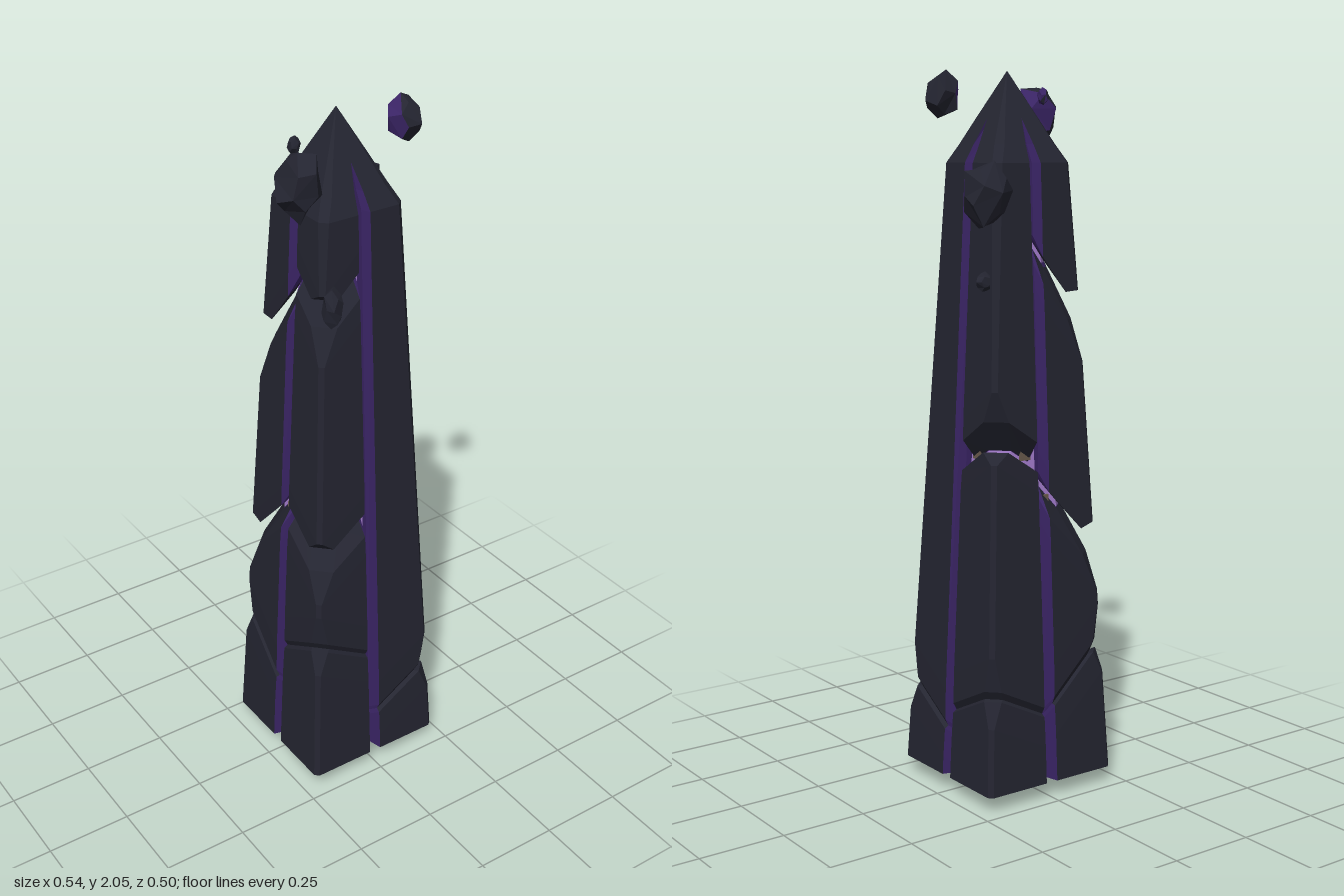
import * as THREE from 'three';

const mat = (name, color) => Object.assign(new THREE.MeshStandardMaterial({ color }), { name });
const clamp = THREE.MathUtils.clamp;

// Half width of the tapering obelisk, with its pyramid tip
const halfWidth = y => (y < 1.75 ? 0.218 - 0.0503 * y : 0.52 * Math.max(0, 2 - y));

// Flat-faced loft through rings of points; sideMat and capMat pick the material index
function loft(rings, sideMat, capMat, mirrored) {
  const faces = [[], []];
  const tri = (m, a, b, c) => faces[m].push(...a, ...(mirrored ? c : b), ...(mirrored ? b : c));
  const n = rings[0].length;
  for (let i = 0; i < rings.length - 1; i++) {
    for (let j = 0; j < n; j++) {
      const k = (j + 1) % n, p = rings[i], q = rings[i + 1];
      tri(sideMat(j), p[j], p[k], q[k]);
      tri(sideMat(j), p[j], q[k], q[j]);
    }
  }
  const lo = rings[0], hi = rings[rings.length - 1];
  for (let j = 1; j < n - 1; j++) {
    tri(capMat(0), lo[0], lo[j + 1], lo[j]);
    tri(capMat(1), hi[0], hi[j], hi[j + 1]);
  }
  const geo = new THREE.BufferGeometry();
  geo.setAttribute('position', new THREE.Float32BufferAttribute([...faces[0], ...faces[1]], 3));
  geo.addGroup(0, faces[0].length / 3, 0);
  geo.addGroup(faces[0].length / 3, faces[1].length / 3, 1);
  geo.computeVertexNormals();
  return geo;
}

// Cross-section of one corner pillar: outer faces, bevelled corner, V groove walls
function section(y, inset, bevel) {
  const h = Math.max(0, halfWidth(y) - inset);
  const open = clamp((1.87 - y) / 0.1, 0, 1);
  const g = Math.min(0.008 * open, h), a = Math.min(0.019 * open, h);
  const b = Math.min(bevel, 0.4 * h), w = 0.8 * h, k = 0.25 * h;
  return [[a, h], [h - b, h], [h, h - b], [h, a], [w, g], [k, g], [g, k], [g, w]];
}

// Ring cut on a slant: the height changes by `slope` from groove to corner
function ring(sx, sz, { y, slope = 0, inset = 0, bevel = 0.012 }) {
  const h = halfWidth(y) || 1;
  return section(y, inset, bevel).map(([x, z], j) => {
    const py = y + slope * ((x + z) / h - 1);
    const [qx, qz] = slope ? section(py, inset, bevel)[j] : [x, z];
    return [sx * qx, py, sz * qz];
  });
}

// Rings leading away from a crack, dir = 1 upward or -1 downward
function crackRings({ y, slope, glow, gap = 0.01 }, dir) {
  const bevel = glow ? 0.05 : 0.035;
  return [
    { y: y + dir * (glow ? gap : 0), slope, inset: glow ? 0.05 : 0.014, bevel },
    { y: y + dir * (glow ? gap + 0.028 : 0.014), slope, inset: 0.002, bevel },
    { y: y + dir * 0.1, slope, bevel: 0.012 },
  ];
}

export function createModel() {
  const root = new THREE.Group();
  root.name = 'shatteredObelisk';
  const stone = mat('darkStone', 0x242531);
  const violet = mat('deepViolet', 0x3a2465);
  const glow = mat('glowingViolet', 0xa67fd0);
  const tan = mat('dustyTan', 0x6b5c4e);
  const add = (parent, name, geo, m) => {
    const mesh = new THREE.Mesh(geo, m);
    mesh.name = name;
    parent.add(mesh);
    return mesh;
  };

  // Glowing core seen through grooves and cracks
  const coreRing = y => {
    const c = halfWidth(y) - 0.053, d = c - Math.min(0.05, 0.5 * c);
    return [[-d, c], [d, c], [c, d], [c, -d], [d, -c], [-d, -c], [-c, -d], [-c, d]]
      .map(([x, z]) => [x, y, z]);
  };
  add(root, 'core', loft([0.004, 1.75, 1.84].map(coreRing), () => 0, e => (e ? 0 : 1)), [glow, violet]);

  // Four corner pillars, each broken by its own cracks
  const pillars = [
    { name: 'frontRightPillar', sx: -1, sz: 1, cracks: [
      { y: 0.36, slope: 0.11 },
      { y: 0.83, slope: -0.13, glow: true },
      { y: 1.57, slope: -0.13, glow: true }] },
    { name: 'frontLeftPillar', sx: 1, sz: 1, cracks: [{ y: 0.14, slope: 0.12 }] },
    { name: 'backLeftPillar', sx: 1, sz: -1, cracks: [
      { y: 0.2, slope: 0.1 },
      { y: 0.93, slope: 0.11, glow: true, gap: 0.014 }] },
    { name: 'backRightPillar', sx: -1, sz: -1, cracks: [
      { y: 0.22, slope: 0.18 },
      { y: 0.82, slope: -0.2, glow: true },
      { y: 1.48, slope: -0.2, glow: true }] },
  ];
  for (const { name, sx, sz, cracks } of pillars) {
    const group = new THREE.Group();
    group.name = name;
    root.add(group);
    for (let i = 0; i <= cracks.length; i++) {
      const below = i ? crackRings(cracks[i - 1], 1) : [{ y: 0 }];
      const above = i < cracks.length
        ? crackRings(cracks[i], -1).reverse()
        : [{ y: 1.75, bevel: 0.02 }, { y: 1.8, bevel: 0.02 }, { y: 1.87, bevel: 0.012 }, { y: 2 }];
      const rings = [...below, ...above].map(r => ring(sx, sz, r));
      const geo = loft(rings, j => (j > 2 ? 1 : 0), e => (e || i ? 1 : 0), sx * sz < 0);
      add(group, 'stoneChunk' + (i + 1), geo, [stone, violet]);
    }
    // Tan chips lodged where the larger cracks meet the grooves
    cracks.filter(c => c.glow && c.y < 1).forEach(c => {
      const r = halfWidth(c.y) - 0.046;
      const front = add(group, 'tanChip', new THREE.BoxGeometry(0.035, 0.045, 0.008), tan);
      front.position.set(sx * 0.03, c.y - 0.02 * Math.sign(-c.slope), sz * r);
      const side = add(group, 'tanChip', new THREE.BoxGeometry(0.008, 0.045, 0.035), tan);
      side.position.set(sx * r, c.y - 0.02 * Math.sign(-c.slope), sz * 0.03);
    });
  }

  // Floating rocks: centre, then half sizes; faces turned to the axis are violet
  const rocks = [
    [-0.21, 1.88, 0.145, 0.062, 0.088, 0.056],
    [-0.148, 1.935, 0.03, 0.016, 0.022, 0.016],
    [0.205, 1.93, 0.02, 0.05, 0.06, 0.045],
    [0.205, 1.67, -0.19, 0.064, 0.087, 0.06],
    [-0.157, 1.56, 0.215, 0.026, 0.052, 0.03],
    [0.192, 1.435, -0.155, 0.022, 0.027, 0.016],
  ];
  rocks.forEach(([x, y, z, rx, ry, rz], i) => {
    const geo = new THREE.DodecahedronGeometry(1.06);
    const p = geo.attributes.position, v = new THREE.Vector3();
    geo.rotateY(i * 1.3 + 0.4);
    geo.rotateZ(i * 0.7 + 0.3);
    for (let k = 0; k < p.count; k++) {
      v.fromBufferAttribute(p, k);
      v.multiplyScalar(1 + 0.11 * Math.sin(v.x * 4.1 + v.y * 5.3 + v.z * 3.7 + i * 2));
      p.setXYZ(k, v.x * rx, v.y * ry, v.z * rz);
    }
    geo.computeVertexNormals();
    const inward = new THREE.Vector3(-x, 0, -z).normalize();
    for (let k = 0; k < p.count; k += 3) {
      v.fromBufferAttribute(geo.attributes.normal, k);
      geo.addGroup(k, 3, v.dot(inward) > 0.55 ? 1 : 0);
    }
    add(root, 'floatingRock' + (i + 1), geo, [stone, violet]).position.set(x, y, z);
  });
  return root;
}
